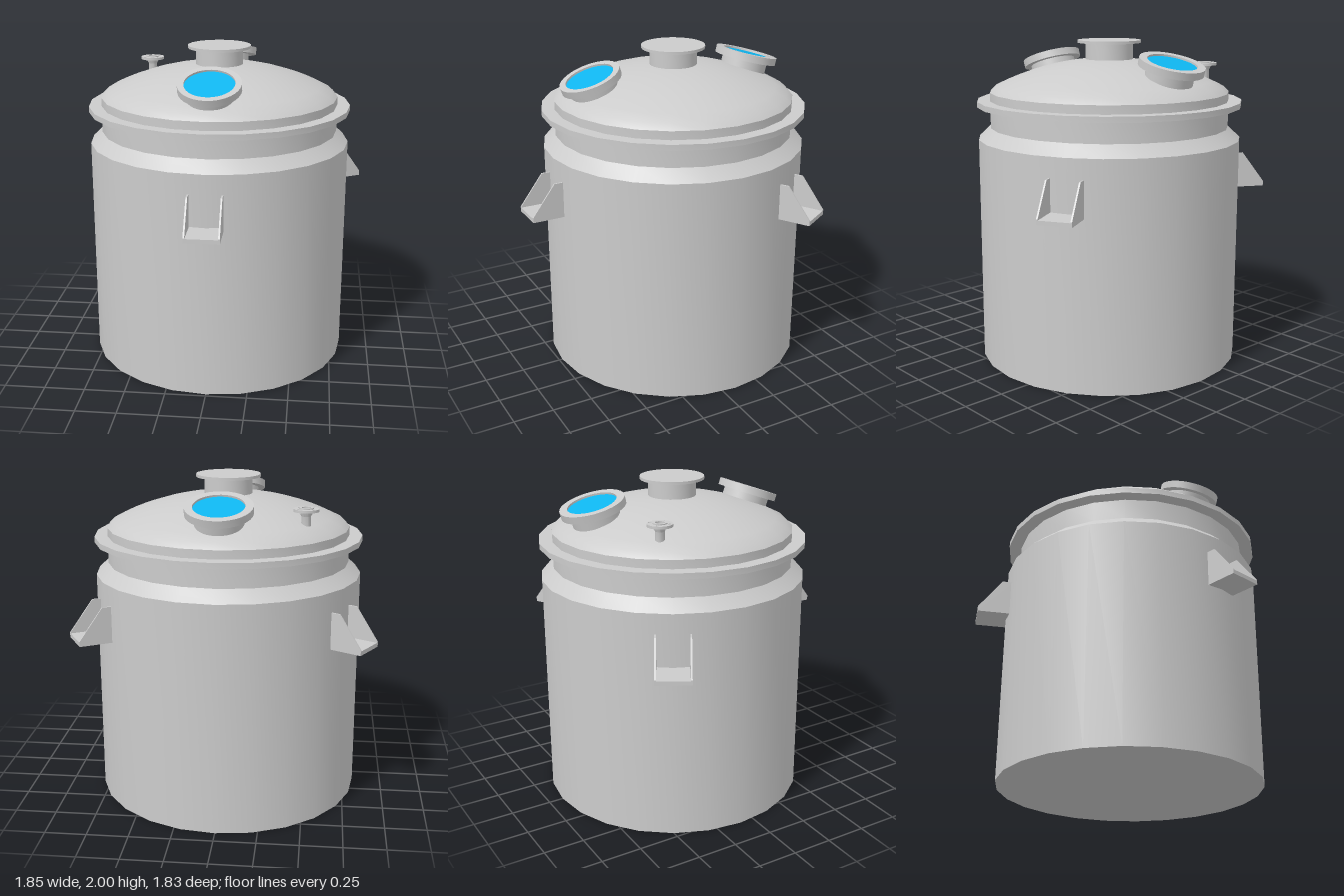
import * as THREE from 'three';
import { toCreasedNormals } from 'three/addons/utils/BufferGeometryUtils.js';

const STEEL = new THREE.MeshStandardMaterial({ color: 0xcccccc });
const GLASS = new THREE.MeshStandardMaterial({ color: 0x0fb5ee });
const SIDES = 24;

function part(name, geometry, material = STEEL) {
  const mesh = new THREE.Mesh(geometry, material);
  mesh.name = name;
  return mesh;
}

// Revolved part from [radius, height] pairs, listed upwards along the outside
function turned(name, profile, sides = SIDES) {
  const points = profile.map(([r, y]) => new THREE.Vector2(r, y));
  return part(name, toCreasedNormals(new THREE.LatheGeometry(points, sides), 0.5));
}

// Tilted sight glass; its origin is the centre of the flange's top face
function sightGlass(name, radius, z, y, tilt) {
  const group = new THREE.Group();
  group.name = name;
  group.add(turned('sightGlassFlange', [
    [0.145, -0.2], [0.145, -0.045], [radius, -0.045], [radius, 0], [0.15, 0], [0.15, -0.02],
  ], 32));
  const pane = part('glassPane', new THREE.CircleGeometry(0.151, 32), GLASS);
  pane.rotation.x = -Math.PI / 2;
  pane.position.y = -0.012;
  group.add(pane);
  group.position.set(0, y, z);
  group.rotation.x = tilt;
  return group;
}

// Small open nozzle with a drilled flange
function ventNozzle() {
  const group = new THREE.Group();
  group.name = 'ventNozzle';
  group.add(turned('ventPipe', [
    [0.028, 1.72], [0.028, 1.812], [0.042, 1.84], [0.042, 1.862], [0.027, 1.862], [0.027, 1.74],
  ]));
  const disc = new THREE.Shape().absarc(0, 0, 0.075, 0, Math.PI * 2);
  const hole = (x, y, r) => disc.holes.push(new THREE.Path().absarc(x, y, r, 0, Math.PI * 2, true));
  hole(0, 0, 0.03);
  for (let i = 0; i < 4; i++) {
    const a = Math.PI / 4 + i * Math.PI / 2;
    hole(0.058 * Math.cos(a), 0.058 * Math.sin(a), 0.009);
  }
  const geometry = new THREE.ExtrudeGeometry(disc, { depth: 0.016, bevelEnabled: false, curveSegments: 12 });
  geometry.rotateX(-Math.PI / 2);
  const flange = part('ventFlange', toCreasedNormals(geometry, 0.6));
  flange.position.y = 1.84;
  group.add(flange);
  return group;
}

// Support bracket: base plate between two sloping gussets, pointing along +z
function bracket() {
  const group = new THREE.Group();
  group.name = 'supportBracket';
  const plate = part('bracketPlate', new THREE.BoxGeometry(0.208, 0.026, 0.215));
  plate.position.set(0, 1.067, 0.8975);
  group.add(plate);
  const outline = [[0.79, 1.054], [1.005, 1.054], [1.005, 1.085], [0.86, 1.277], [0.79, 1.277]];
  const shape = new THREE.Shape(outline.map(([z, y]) => new THREE.Vector2(-z, y)));
  for (const x of [-0.105, 0.095]) {
    const geometry = new THREE.ExtrudeGeometry(shape, { depth: 0.01, bevelEnabled: false });
    geometry.rotateY(Math.PI / 2);
    const gusset = part('bracketGusset', geometry);
    gusset.position.x = x;
    group.add(gusset);
  }
  return group;
}

export function createModel() {
  const model = new THREE.Group();
  model.name = 'tank';
  const tank = new THREE.Group();
  tank.name = 'vessel';
  tank.position.z = -0.09;
  model.add(tank);

  // Shell with conical shoulder and collar
  tank.add(turned('shell', [[0, 0], [0.82, 0], [0.82, 1.4], [0.745, 1.47], [0.745, 1.61]]));

  // Flange ring around the collar
  tank.add(turned('rimFlange', [[0.74, 1.6], [0.825, 1.6], [0.825, 1.635], [0.74, 1.635]]));

  // Lid: short wall, chamfer, then a shallow spherical cap
  const lid = [[0.745, 1.63], [0.745, 1.687]];
  const cap = 1.57, top = 1.89;
  for (let i = 10; i >= 0; i--) {
    const r = 0.71 * i / 10;
    lid.push([r, top - cap + Math.sqrt(cap * cap - r * r)]);
  }
  tank.add(turned('domedLid', lid));

  // Central blanked nozzle
  tank.add(turned('centralNozzle', [
    [0.147, 1.84], [0.147, 1.983], [0.197, 1.983], [0.197, 2], [0, 2],
  ], 32));

  // Three brackets spaced evenly around the shell
  for (let i = 0; i < 3; i++) {
    const b = bracket();
    b.rotation.y = i * Math.PI * 2 / 3;
    tank.add(b);
  }

  model.add(sightGlass('frontSightGlass', 0.188, 0.478, 1.872, THREE.MathUtils.degToRad(20)));
  model.add(sightGlass('backSightGlass', 0.197, -0.632, 1.895, THREE.MathUtils.degToRad(-15)));

  const vent = ventNozzle();
  vent.position.set(-0.485, 0, -0.45);
  model.add(vent);
  return model;
}
